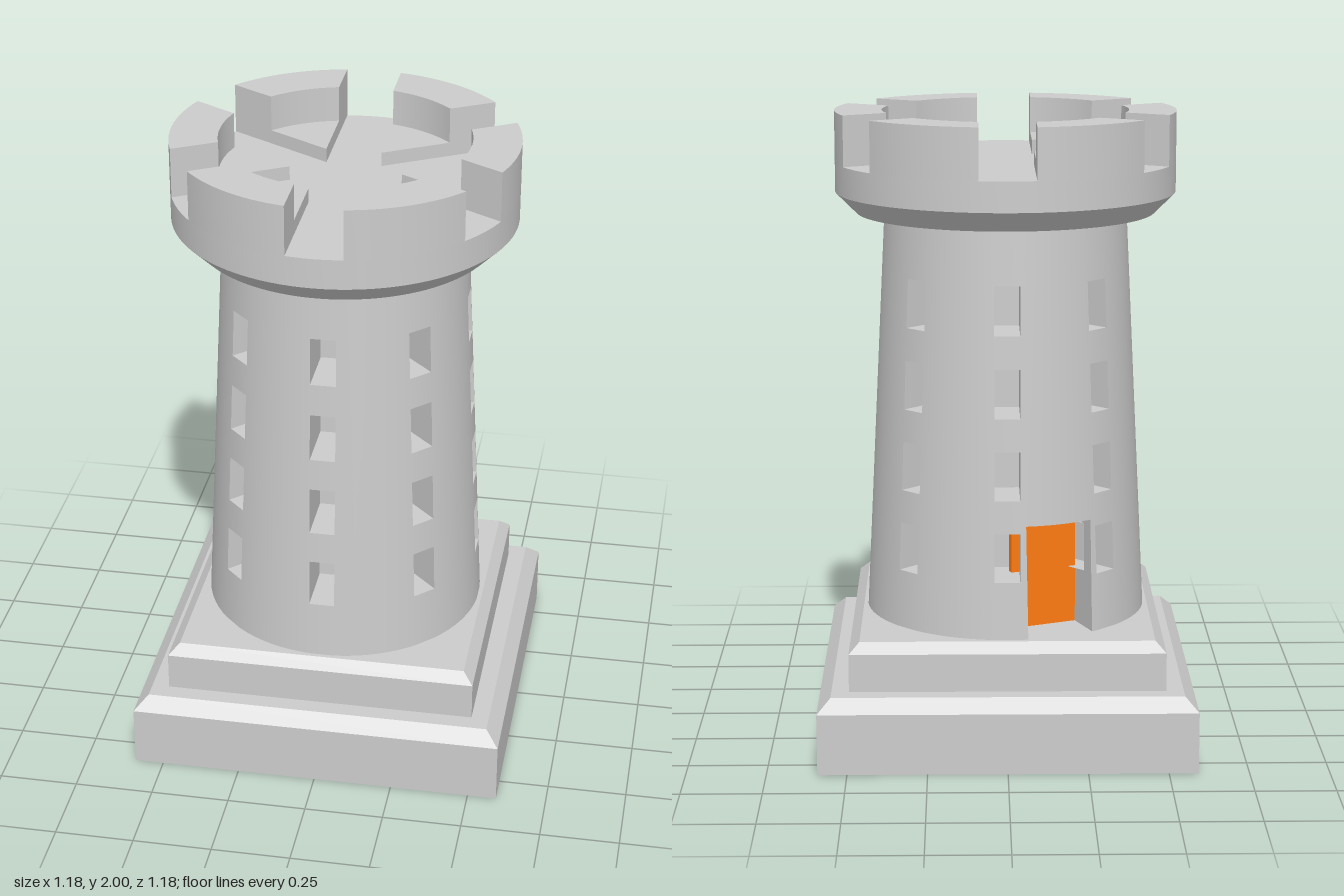
import * as THREE from 'three';
import { toCreasedNormals } from 'three/addons/utils/BufferGeometryUtils.js';

const grey = new THREE.MeshStandardMaterial({ color: 0xcccccc });
const greyFlat = new THREE.MeshStandardMaterial({ color: 0xcccccc, flatShading: true });
const greyOpen = new THREE.MeshStandardMaterial({ color: 0xcccccc, flatShading: true, side: THREE.DoubleSide });
const orange = new THREE.MeshStandardMaterial({ color: 0xff7b10 });

const DEG = Math.PI / 180;
const Y0 = 0.388, Y1 = 1.68, R0 = 0.45, R1 = 0.386;
const radius = (y) => R0 + (R1 - R0) * (y - Y0) / (Y1 - Y0);

const WIN = 0.04;                       // window half width
const POCKET = 0.18;                    // window depth
const ROWS = [0, 1, 2, 3].map((i) => [0.573 + i * 0.2575, 0.727 + i * 0.2575]);
const DOOR = { at: 202.5, half: 0.11, top: 0.75, plane: 0.305 };

function add(parent, name, geometry, material) {
  const mesh = new THREE.Mesh(geometry, material);
  mesh.name = name;
  parent.add(mesh);
  return mesh;
}

// Collects four-cornered faces into one geometry
function quads() {
  const pos = [];
  return {
    quad: (a, b, c, d) => pos.push(...a, ...b, ...c, ...a, ...c, ...d),
    build() {
      const g = new THREE.BufferGeometry();
      g.setAttribute('position', new THREE.Float32BufferAttribute(pos, 3));
      g.computeVertexNormals();
      return g;
    },
  };
}

// Square plinth tier with a bevelled top edge
function tier(parent, name, half, topHalf, y0, yBevel, y1) {
  const k = Math.SQRT2;
  const pts = [[0, y0], [half * k, y0], [half * k, yBevel], [topHalf * k, y1], [0, y1]];
  const g = new THREE.LatheGeometry(pts.map((p) => new THREE.Vector2(...p)), 4, Math.PI / 4);
  add(parent, name, g, greyFlat);
}

// Tapered wall with holes left for the windows and the door
function wallGeometry() {
  const cols = [];                      // each: centre angle, sideways offset, kind of the cell that follows
  for (let i = 0; i < 8; i++) {
    const c = i * 45;
    cols.push([c, -WIN, 'window'], [c, WIN, '']);
    const hasDoor = Math.abs(c + 22.5 - DOOR.at) < 1;
    if (hasDoor) cols.push([DOOR.at, -DOOR.half, 'door']);
    for (let a = 9; a <= 36; a += 4.5) cols.push([c + a, 0, hasDoor ? 'door' : '']);
    if (hasDoor) cols.push([DOOR.at, DOOR.half, '']);
  }
  cols.push([360, -WIN, '']);
  const ys = [Y0, ...ROWS.flat(), DOOR.top, Y1].sort((a, b) => a - b);
  const pt = ([c, l], y) => {
    const r = radius(y), a = c * DEG + Math.asin(l / r);
    return [r * Math.sin(a), y, r * Math.cos(a)];
  };
  const q = quads();
  for (let j = 0; j < ys.length - 1; j++) {
    const mid = (ys[j] + ys[j + 1]) / 2;
    const inRow = ROWS.some(([a, b]) => mid > a && mid < b);
    for (let i = 0; i < cols.length - 1; i++) {
      const kind = cols[i][2];
      if ((kind === 'window' && inRow) || (kind === 'door' && mid < DOOR.top)) continue;
      q.quad(pt(cols[i], ys[j]), pt(cols[i + 1], ys[j]), pt(cols[i + 1], ys[j + 1]), pt(cols[i], ys[j + 1]));
    }
  }
  // Smooth cone normals
  const g = q.build(), p = g.attributes.position, slope = (R0 - R1) / (Y1 - Y0);
  for (let i = 0; i < p.count; i++) {
    const n = new THREE.Vector3(p.getX(i), 0, p.getZ(i)).normalize().setY(slope).normalize();
    g.attributes.normal.setXYZ(i, n.x, n.y, n.z);
  }
  return g;
}

const front = (l, y) => Math.sqrt(radius(y) ** 2 - l * l);

// Side wall of a recess, from the tower surface back to depth z
const sideWall = (q, l, y0, y1, z) =>
  q.quad([l, y0, front(l, y0)], [l, y0, z], [l, y1, z], [l, y1, front(l, y1)]);

// Level face of a recess that follows the curved tower surface
function ledge(q, half, y, z, steps) {
  for (let i = 0; i < steps; i++) {
    const a = -half + 2 * half * i / steps, b = a + 2 * half / steps;
    q.quad([a, y, front(a, y)], [b, y, front(b, y)], [b, y, z], [a, y, z]);
  }
}

// Window recess; cutLeft and cutRight shorten a side where it breaks into the doorway
function windowPocket(y0, y1, cutLeft, cutRight) {
  const q = quads(), z = radius((y0 + y1) / 2) - POCKET;
  sideWall(q, -WIN, y0, y1, cutLeft ? 0.385 : z);
  sideWall(q, WIN, y0, y1, cutRight ? 0.385 : z);
  ledge(q, WIN, y0, z, 1);
  ledge(q, WIN, y1, z, 1);
  q.quad([-WIN, y0, z], [WIN, y0, z], [WIN, y1, z], [-WIN, y1, z]);
  return q.build();
}

function doorway() {
  const group = new THREE.Group();
  group.name = 'doorway';
  const q = quads(), [w0, w1] = ROWS[0];
  for (const l of [-DOOR.half, DOOR.half]) {
    sideWall(q, l, Y0, w0, DOOR.plane);
    sideWall(q, l, w0, w1, 0.371);
    sideWall(q, l, w1, DOOR.top, DOOR.plane);
  }
  ledge(q, DOOR.half, DOOR.top, DOOR.plane, 8);
  add(group, 'doorFrame', q.build(), greyOpen);
  const h = DOOR.top - Y0;
  add(group, 'door', new THREE.BoxGeometry(DOOR.half * 2, h, 0.02), orange)
    .position.set(0, Y0 + h / 2, DOOR.plane - 0.01);
  group.rotation.y = DOOR.at * DEG;
  return group;
}

// Battlement pieces lie between six slots that cross at the centre
const SLOT = 0.0875, INNER = 0.39, OUTER = 0.54;
function arc(r, steps = 14) {
  const a = Math.PI / 6 - Math.asin(SLOT / r);
  return Array.from({ length: steps + 1 }, (_, i) => {
    const t = -a + 2 * a * i / steps;
    return new THREE.Vector2(r * Math.cos(t), r * Math.sin(t));
  });
}
function slab(points, y0, y1) {
  const g = new THREE.ExtrudeGeometry(new THREE.Shape(points), { depth: y1 - y0, bevelEnabled: false });
  g.rotateX(-Math.PI / 2).translate(0, y0, 0);
  return toCreasedNormals(g, 0.4);
}

export function createModel() {
  const model = new THREE.Group();
  model.name = 'tower';

  tier(model, 'lowerPlinth', 0.592, 0.55, 0, 0.195, 0.237);
  tier(model, 'upperPlinth', 0.495, 0.462, 0.237, 0.358, 0.39);
  add(model, 'towerWall', wallGeometry(), grey);

  // Eight columns of windows
  for (let i = 0; i < 8; i++) {
    const column = new THREE.Group();
    column.name = 'windowColumn';
    column.rotation.y = i * 45 * DEG;
    ROWS.forEach(([y0, y1], row) =>
      add(column, 'window', windowPocket(y0, y1, row === 0 && i === 5, row === 0 && i === 4), greyOpen));
    model.add(column);
  }
  model.add(doorway());

  // Flared crown with its floor
  const profile = [[0.3, 1.68], [0.475, 1.68], [OUTER, 1.745], [OUTER, 1.84], [0, 1.84]];
  const crown = new THREE.LatheGeometry(profile.map((p) => new THREE.Vector2(...p)), 96);
  add(model, 'crown', toCreasedNormals(crown, 0.4), grey);

  // Six merlons, each with a raised wedge of floor behind it
  const merlon = slab([...arc(OUTER), ...arc(INNER).reverse()], 1.84, 2);
  const wedge = slab([new THREE.Vector2(SLOT * 2, 0), ...arc(INNER)], 1.84, 1.885);
  for (let i = 0; i < 6; i++) {
    add(model, 'merlon', merlon, grey).rotation.y = i * Math.PI / 3;
    add(model, 'floorWedge', wedge, grey).rotation.y = i * Math.PI / 3;
  }
  return model;
}
